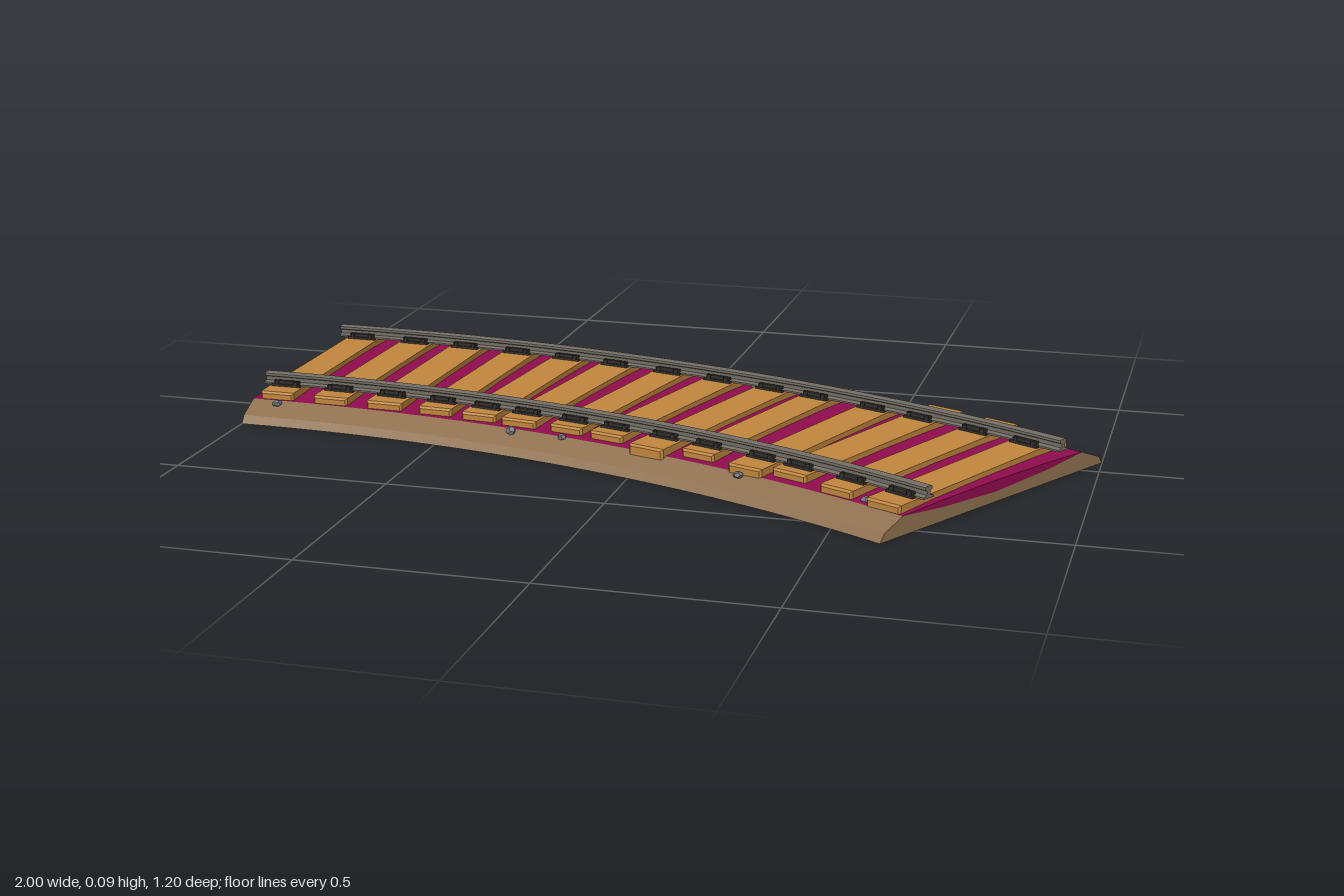
import * as THREE from 'three';
import { toCreasedNormals } from 'three/addons/utils/BufferGeometryUtils.js';

// Curve centre in plan, and the swept angle of the track piece
const CX = -1, CZ = 3.395, ARC = Math.PI / 6;

const mat = (name, color) => {
  const m = new THREE.MeshStandardMaterial({ color });
  m.name = name;
  return m;
};

// Plan point at a radius and angle on the curve
const polar = (r, t, y = 0) => new THREE.Vector3(CX + r * Math.sin(t), y, CZ - r * Math.cos(t));

// Extrude a [radius, height] profile and bend it round the curve
function sweep(name, profile, material) {
  const shape = new THREE.Shape(profile.map(([r, y]) => new THREE.Vector2(r, y)));
  const geo = new THREE.ExtrudeGeometry(shape, { depth: ARC, steps: 28, bevelEnabled: false });
  const p = geo.attributes.position;
  for (let i = 0; i < p.count; i++) {
    const v = polar(p.getX(i), p.getZ(i), p.getY(i));
    p.setXYZ(i, v.x, v.y, v.z);
  }
  const mesh = new THREE.Mesh(toCreasedNormals(geo, 0.15), material);
  mesh.name = name;
  return mesh;
}

// Timber with chamfered edges: w across, h high, len along z, base at y = 0
function timber(w, h, len, b = 0.005) {
  const s = new THREE.Shape();
  s.moveTo(-w / 2 + b, b);
  s.lineTo(w / 2 - b, b);
  s.lineTo(w / 2 - b, h - b);
  s.lineTo(-w / 2 + b, h - b);
  s.closePath();
  const g = new THREE.ExtrudeGeometry(s, {
    depth: len - 2 * b, bevelEnabled: true, bevelSegments: 1, bevelSize: b, bevelThickness: b,
  });
  return g.translate(0, 0, -len / 2 + b);
}

export function createModel() {
  const model = new THREE.Group();
  model.name = 'curvedTrack';

  const earth = mat('earth brown', 0x8f7150);
  const infill = mat('magenta infill', 0x900c4e);
  const wood = mat('sleeper wood', 0xc0853d);
  const steel = mat('rail steel', 0x736d64);
  const iron = mat('dark iron', 0x33312f);
  const stone = mat('grey stone', 0x74767a);

  // Embankment with a shallow trough, and the infill lying in it
  const trough = [[3.92, 0.043], [3.8, 0.031], [3.61, 0.023], [3.43, 0.031], [3.3, 0.043]];
  model.add(sweep('embankment', [
    [3.23, 0], [4, 0], [3.985, 0.018], ...trough, [3.243, 0.018],
  ], earth));
  model.add(sweep('trackBed', [
    ...[...trough].reverse(), [3.8, 0.047], [3.61, 0.049], [3.42, 0.047],
  ], infill));

  // Sleepers: inner angle, inner radius, outer angle, outer radius
  const sleepers = [
    [0.0178, 3.305, 0.0163, 3.935], [0.0599, 3.305, 0.0545, 3.94],
    [0.1020, 3.31, 0.0905, 3.935], [0.1420, 3.315, 0.1290, 3.915],
    [0.1770, 3.315, 0.1656, 3.924], [0.2090, 3.315, 0.2017, 3.924],
    [0.2460, 3.322, 0.2408, 3.925], [0.2790, 3.32, 0.2783, 3.931],
    [0.3180, 3.285, 0.3165, 3.932], [0.3530, 3.32, 0.3484, 3.948],
    [0.3964, 3.295, 0.3896, 3.941], [0.4256, 3.325, 0.4239, 3.954],
    [0.4680, 3.305, 0.4632, 3.95], [0.5075, 3.3, 0.4990, 3.938],
  ];
  const railRadii = [3.383, 3.848];
  const plateGeo = new THREE.BoxGeometry(0.074, 0.006, 0.054);
  const jawGeo = new THREE.BoxGeometry(0.064, 0.009, 0.009);
  const boltGeo = new THREE.CylinderGeometry(0.005, 0.005, 0.012, 6);

  // Rail fastening: base plate, a jaw on each side and two bolts per jaw
  function chair(r, t) {
    const g = new THREE.Group();
    g.name = 'railChair';
    const put = (name, geo, x, y, z) => {
      const m = new THREE.Mesh(geo, iron);
      m.name = name;
      m.position.set(x, y, z);
      g.add(m);
    };
    put('basePlate', plateGeo, 0, 0.002, 0);
    for (const side of [-1, 1]) {
      put('jaw', jawGeo, 0, 0.008, side * 0.016);
      for (const end of [-1, 1]) put('bolt', boltGeo, end * 0.024, 0.008, side * 0.023);
    }
    g.position.copy(polar(r, t, 0.061));
    g.rotation.y = -t;
    return g;
  }

  sleepers.forEach(([ta, ra, tb, rb], i) => {
    const a = polar(ra, ta), b = polar(rb, tb);
    const d = b.clone().sub(a);
    const m = new THREE.Mesh(timber(0.084 + 0.003 * (i % 3), 0.035, d.length()), wood);
    m.name = 'sleeper';
    m.position.copy(a).add(b).multiplyScalar(0.5).setY(0.026);
    m.rotation.y = Math.atan2(d.x, d.z);
    model.add(m);
    for (const r of railRadii) {
      model.add(chair(r, THREE.MathUtils.mapLinear(r, ra, rb, ta, tb)));
    }
  });

  // Flat-bottomed rails: foot, web and head
  const half = [[0.017, 0.062], [0.017, 0.066], [0.005, 0.069], [0.005, 0.078], [0.011, 0.081], [0.011, 0.087], [0.008, 0.089]];
  for (const r of railRadii) {
    const right = half.map(([x, y]) => [r + x, y]);
    const left = half.map(([x, y]) => [r - x, y]).reverse();
    model.add(sweep('rail', [...right, ...left], steel));
  }

  // Loose stones beside the sleepers: x, z, size
  const pebbles = [
    [-0.93, 0.115, 0.012], [-0.32, 0.18, 0.012], [-0.19, 0.2, 0.011],
    [0.14, -0.32, 0.016], [0.56, 0.46, 0.013], [0.03, -0.4, 0.011], [0.26, 0.36, 0.012],
  ];
  pebbles.forEach(([x, z, s], i) => {
    const m = new THREE.Mesh(new THREE.DodecahedronGeometry(s), stone);
    m.name = 'pebble';
    m.position.set(x, 0.042, z);
    m.rotation.set(i, i * 2, 0);
    m.scale.y = 0.7;
    model.add(m);
  });

  return model;
}
